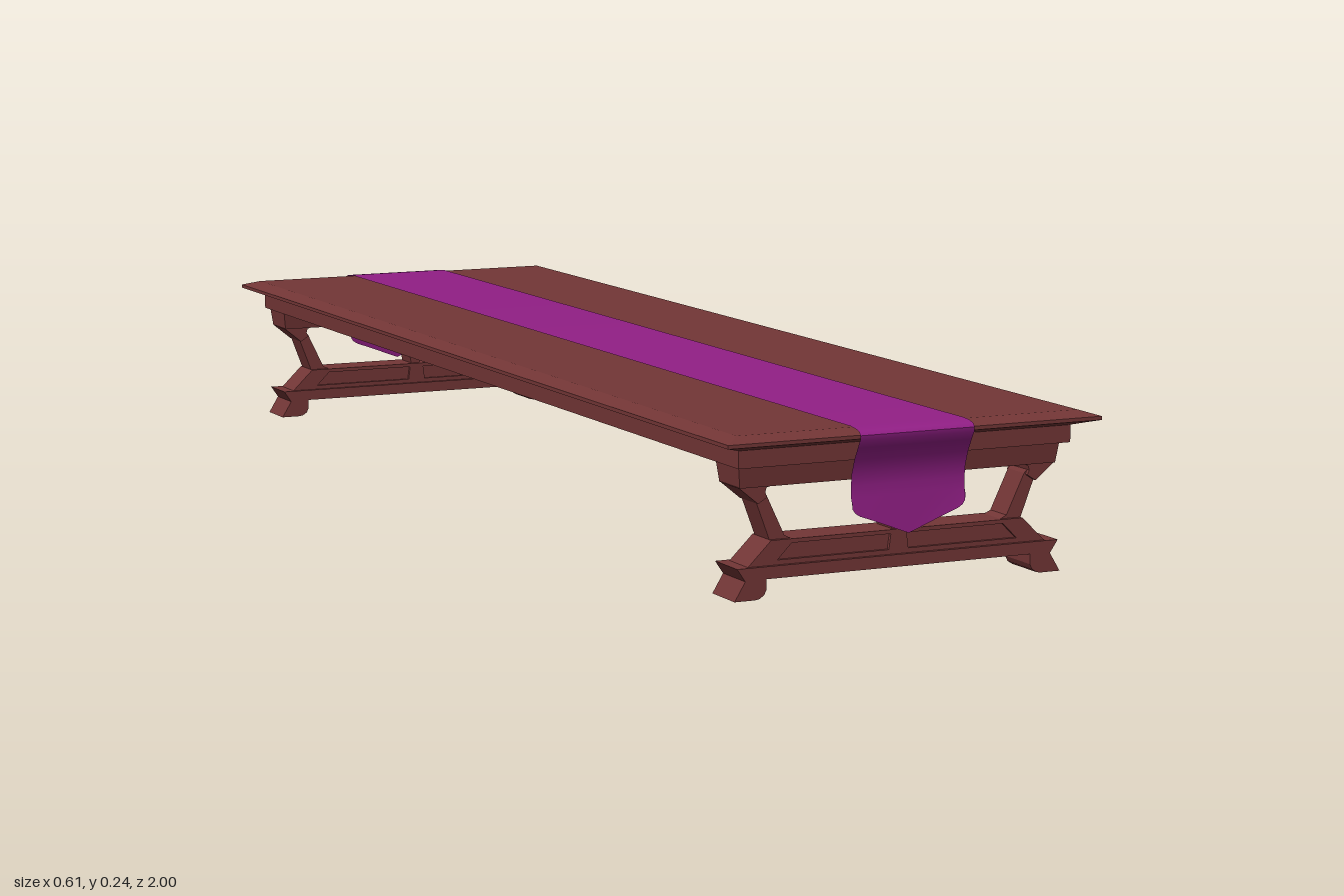
import * as THREE from 'three';
import { toCreasedNormals } from 'three/addons/utils/BufferGeometryUtils.js';

const wood = new THREE.MeshStandardMaterial({ color: 0x733636 });
wood.name = 'reddish wood';
const cloth = new THREE.MeshStandardMaterial({ color: 0x921f86, side: THREE.DoubleSide });
cloth.name = 'purple cloth';

function add(parent, name, geometry, material = wood) {
  const mesh = new THREE.Mesh(geometry, material);
  mesh.name = name;
  parent.add(mesh);
  return mesh;
}

// Stack of rectangular sections, each [halfX, y, halfZ], from bottom to top
function loft(sections) {
  const pos = [], idx = [];
  for (const [x, y, z] of sections) pos.push(-x, y, z, x, y, z, x, y, -z, -x, y, -z);
  for (let s = 0; s < sections.length - 1; s++) {
    for (let i = 0; i < 4; i++) {
      const a = s * 4 + i, b = s * 4 + (i + 1) % 4;
      idx.push(a, b, b + 4, a, b + 4, a + 4);
    }
  }
  const t = (sections.length - 1) * 4;
  idx.push(0, 2, 1, 0, 3, 2, t, t + 1, t + 2, t, t + 2, t + 3);
  const g = new THREE.BufferGeometry();
  g.setAttribute('position', new THREE.Float32BufferAttribute(pos, 3));
  g.setIndex(idx);
  return toCreasedNormals(g, 0.1);
}

const toPoints = (list) => list.map(([x, y]) => new THREE.Vector2(x, y));
const flip = (list) => list.map(([x, y]) => [-x, y]).reverse();

// Outline in x/y extruded symmetrically about z = 0
function slab(outline, depth, holes = []) {
  const shape = new THREE.Shape(toPoints(outline));
  for (const h of holes) shape.holes.push(new THREE.Path(toPoints(h)));
  const g = new THREE.ExtrudeGeometry(shape, { depth, bevelEnabled: false });
  return g.translate(0, 0, -depth / 2);
}

function makeTrestle() {
  const trestle = new THREE.Group();
  trestle.name = 'trestle';

  // Upper beam under the top
  add(trestle, 'upperBeam', loft([[0.259, 0.162, 0.032], [0.263, 0.193, 0.036]]));

  // Base beam with flared feet
  const half = [[0.217, 0.029], [0.217, 0.014], [0.221, 0.006], [0.229, 0.001], [0.236, 0],
    [0.268, 0], [0.251, 0.028], [0.264, 0.047]];
  add(trestle, 'baseBeam', slab([...half, ...flip(half)], 0.07));

  // Lower rail with recessed panels
  const rail = [[-0.244, 0.047], [0.244, 0.047], [0.207, 0.083], [-0.207, 0.083]];
  const panel = [[0.016, 0.054], [0.197, 0.054], [0.174, 0.077], [0.013, 0.077]];
  add(trestle, 'lowerRailFrame', slab(rail, 0.058, [panel, flip(panel)]));
  add(trestle, 'lowerRailPanels', slab(rail.map(([x, y]) => [x * 0.97, y < 0.06 ? y : 0.08]), 0.048));

  // Slanted struts with a bracket head
  const strut = [[0.173, 0.083], [0.207, 0.083], [0.228, 0.138], [0.217, 0.153], [0.212, 0.148], [0.183, 0.088]];
  const head = [[0.205, 0.163], [0.215, 0.16], [0.217, 0.153], [0.214, 0.146], [0.228, 0.137], [0.26, 0.163]];
  for (const mirror of [(p) => p, flip]) {
    add(trestle, 'strut', slab(mirror(strut), 0.046));
    add(trestle, 'strutHead', slab(mirror(head), 0.058));
  }

  // Tapered centre post
  add(trestle, 'centrePost', slab([[-0.008, 0.083], [0.008, 0.083], [0.016, 0.125],
    [0.045, 0.163], [-0.045, 0.163], [-0.016, 0.125]], 0.044));
  trestle.position.x = -0.003;
  return trestle;
}

function makeRunner() {
  // Half path [z, y] from the middle of the top to the hanging end
  const path = [[0, 0.2435], [0.97, 0.2435], [0.985, 0.242], [0.996, 0.239], [1, 0.234], [0.999, 0.227],
    [0.992, 0.215], [0.982, 0.196], [0.975, 0.176], [0.973, 0.158], [0.974, 0.14], [0.977, 0]];
  const full = [...path.slice(1).map(([z, y]) => [-z, y]).reverse(), ...path];
  // Columns [x, height of the hanging edge]
  const side = [[0.06, 0.106], [0.08, 0.113], [0.088, 0.118], [0.092, 0.124], [0.093, 0.132]];
  const columns = [...flip(side), [0, 0.083], ...side];
  const g = new THREE.PlaneGeometry(1, 1, columns.length - 1, full.length - 1);
  const p = g.attributes.position;
  for (let r = 0; r < full.length; r++) {
    columns.forEach(([x, edge], c) => {
      const [z, y] = full[r];
      p.setXYZ(r * columns.length + c, x, y === 0 ? edge : y, z);
    });
  }
  return toCreasedNormals(g, 0.7).translate(-0.005, 0, 0);
}

export function createModel() {
  const table = new THREE.Group();
  table.name = 'table';

  // Top board with bevelled edge, and the moulding beneath it
  add(table, 'tableTop', loft([[0.272, 0.219, 0.962], [0.296, 0.226, 0.986], [0.305, 0.2285, 0.995],
    [0.305, 0.234, 0.995], [0.279, 0.242, 0.969]]));
  add(table, 'underMoulding', loft([[0.272, 0.193, 0.962], [0.272, 0.22, 0.962]]));

  // Trestles at both ends
  for (const s of [1, -1]) {
    const trestle = makeTrestle();
    trestle.position.z = s * 0.915;
    table.add(trestle);
  }

  // Cloth runner hanging over both ends
  add(table, 'runner', makeRunner(), cloth);
  return table;
}
